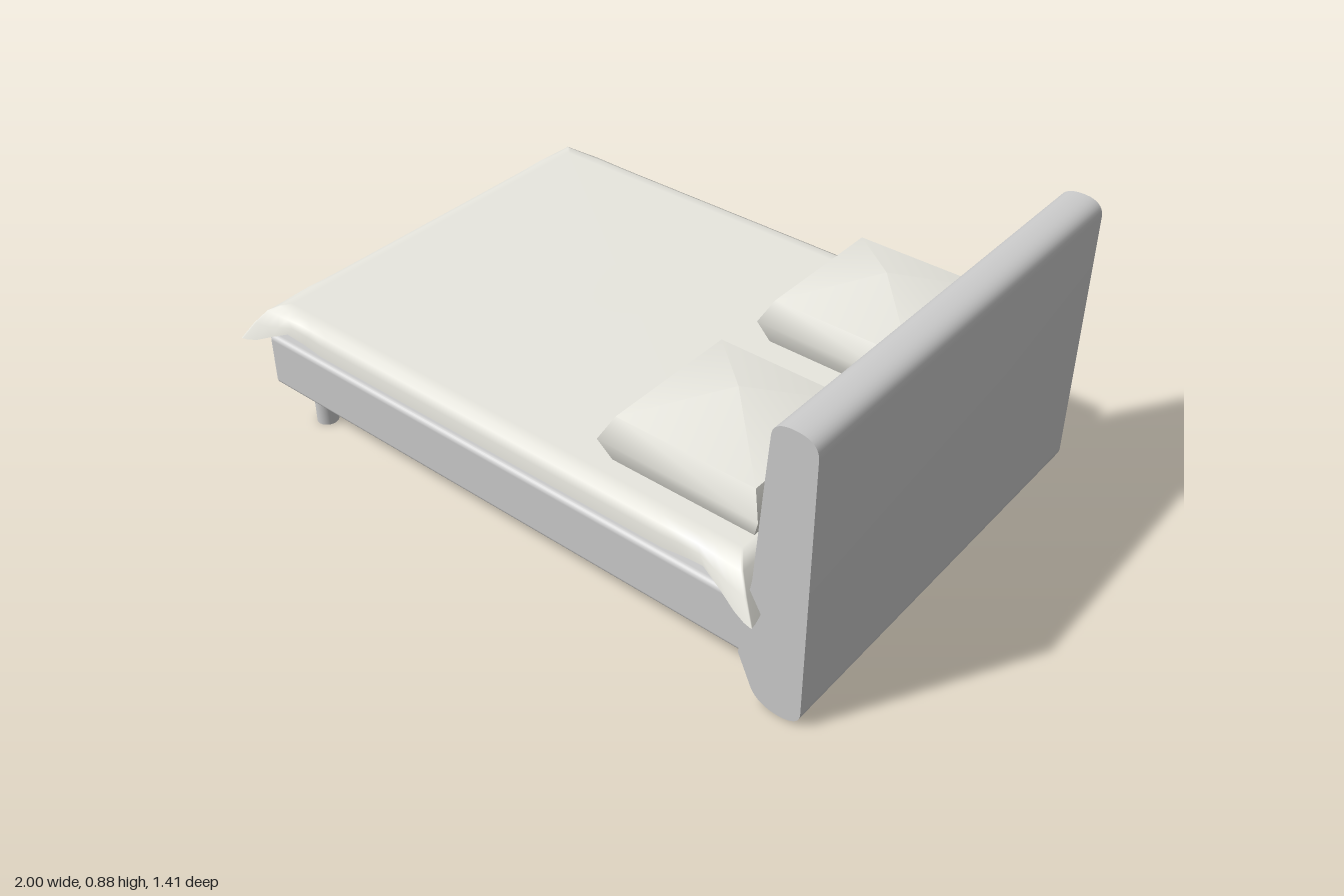
import * as THREE from 'three';
import { toCreasedNormals } from 'three/addons/utils/BufferGeometryUtils.js';
import { RoundedBoxGeometry } from 'three/addons/geometries/RoundedBoxGeometry.js';

const frameMat = new THREE.MeshStandardMaterial({ color: 0xcccccc });
const linenMat = new THREE.MeshStandardMaterial({ color: 0xe8e7df, side: THREE.DoubleSide });

function part(parent, name, geometry, material, x = 0, y = 0, z = 0) {
  const mesh = new THREE.Mesh(geometry, material);
  mesh.name = name;
  mesh.position.set(x, y, z);
  parent.add(mesh);
  return mesh;
}

// Side profile of the headboard, drawn in x/y and extruded along z
function headboardGeometry() {
  const s = new THREE.Shape();
  s.moveTo(0.81, 0.135);
  s.lineTo(0.85, 0.045);
  s.quadraticCurveTo(0.87, 0.002, 0.93, 0);
  s.quadraticCurveTo(1, 0.002, 1, 0.05);
  s.lineTo(1, 0.835);
  s.quadraticCurveTo(1, 0.885, 0.935, 0.885);
  s.quadraticCurveTo(0.875, 0.885, 0.873, 0.84);
  s.lineTo(0.864, 0.72);
  s.lineTo(0.842, 0.4);
  s.quadraticCurveTo(0.835, 0.33, 0.81, 0.31);
  s.closePath();
  const g = new THREE.ExtrudeGeometry(s, { depth: 1.32, bevelEnabled: false, curveSegments: 10 });
  g.translate(0, 0, -0.66);
  return toCreasedNormals(g, 0.6);
}

// Draped sheet: nested rectangular rings, the lower ones flaring at the corners
function sheetGeometry() {
  const rings = [ // xMin, xMax, half depth, y, flare
    [-0.06, -0.06, 0, 0.415, 0],
    [-0.87, 0.77, 0.60, 0.415, 0],
    [-0.895, 0.79, 0.63, 0.413, 0],
    [-0.918, 0.805, 0.65, 0.402, 0.1],
    [-0.937, 0.818, 0.658, 0.375, 0.5],
    [-0.955, 0.832, 0.66, 0.338, 1],
  ];
  const corners = [[-1, 1], [1, 1], [1, -1], [-1, -1]];
  const perSide = 28, n = perSide * 4;
  const pos = [], index = [];
  rings.forEach(([x0, x1, zh, y, flare], r) => {
    for (let i = 0; i < n; i++) {
      const side = Math.floor(i / perSide), a = corners[side], b = corners[(side + 1) % 4];
      const t = 0.5 - 0.5 * Math.cos(Math.PI * (i % perSide) / perSide);
      const u = a[0] + (b[0] - a[0]) * t, v = a[1] + (b[1] - a[1]) * t;
      const px = (x0 + x1) / 2 + u * (x1 - x0) / 2, pz = v * zh;
      const d = (1 - Math.abs(u)) * (x1 - x0) / 2 + (1 - Math.abs(v)) * zh;
      const w = flare * Math.exp(-((d / 0.1) ** 2));
      // the hem lifts a little just beside each corner
      const lift = 0.03 * flare * Math.exp(-(((d - 0.14) / 0.06) ** 2));
      pos.push(px + Math.sign(u) * 0.045 * w, y - 0.045 * w + lift, pz + Math.sign(v) * 0.045 * w);
      if (r > 0) {
        const j = (i + 1) % n, p = (r - 1) * n, q = r * n;
        index.push(p + i, q + i, q + j, p + i, q + j, p + j);
      }
    }
  });
  const g = new THREE.BufferGeometry();
  g.setAttribute('position', new THREE.Float32BufferAttribute(pos, 3));
  g.setIndex(index);
  g.computeVertexNormals();
  return g;
}

// Square, four-sided lathe; profile gives [half width, y]
function squareLathe(profile, crease) {
  const pts = profile.map(([h, y]) => new THREE.Vector2(h * Math.SQRT2, y));
  const g = new THREE.LatheGeometry(pts, 4).rotateY(Math.PI / 4);
  return toCreasedNormals(g, crease);
}

export function createModel() {
  const bed = new THREE.Group();
  bed.name = 'bed';

  // Frame
  part(bed, 'headboard', headboardGeometry(), frameMat);
  part(bed, 'bedBase', new RoundedBoxGeometry(1.8, 0.175, 1.32, 3, 0.016), frameMat, -0.03, 0.2255, 0);
  for (const z of [-0.57, 0.57]) {
    part(bed, 'footLeg', new THREE.CylinderGeometry(0.033, 0.033, 0.15, 24), frameMat, -0.82, 0.075, z);
  }

  // Headboard buttons in staggered rows
  const buttons = new THREE.Group();
  buttons.name = 'headboardButtons';
  bed.add(buttons);
  const button = new THREE.SphereGeometry(0.01, 12, 8).scale(0.6, 1, 1);
  [0.73, 0.63, 0.53].forEach((y, row) => {
    const count = row % 2 ? 3 : 4;
    for (let i = 0; i < count; i++) {
      part(buttons, 'button', button, frameMat, 0.842 + (y - 0.4) * 0.069, y, (i - (count - 1) / 2) * 0.335);
    }
  });

  // Mattress and sheet
  part(bed, 'mattress', new RoundedBoxGeometry(1.69, 0.105, 1.26, 3, 0.02), frameMat, -0.045, 0.3575, 0);
  part(bed, 'sheet', sheetGeometry(), linenMat);

  // Pillows: bulging sides and a soft peaked top
  const sides = squareLathe([[0, 0], [0.225, 0], [0.252, 0.07], [0.218, 0.137]], 0.95);
  const top = squareLathe([[0.218, 0.137], [0, 0.21]], 0.6);
  for (const z of [-0.355, 0.325]) {
    const pillow = new THREE.Group();
    pillow.name = 'pillow';
    pillow.position.set(0.541, 0.415, z);
    part(pillow, 'pillowSides', sides, linenMat);
    part(pillow, 'pillowTop', top, linenMat);
    bed.add(pillow);
  }
  return bed;
}
